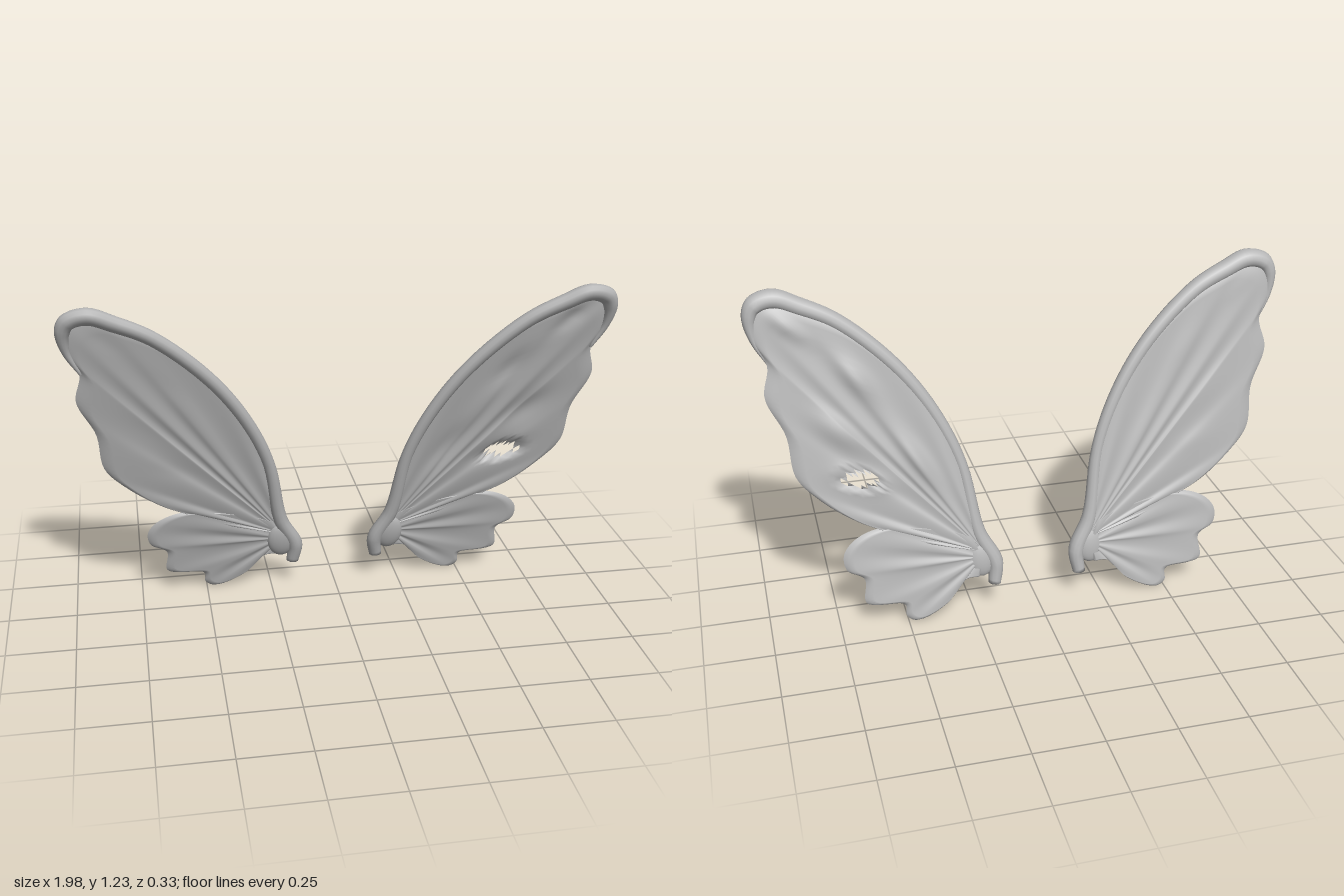
import * as THREE from 'three';

// Outlines of the model's left (+x) side, seen from the front
const upperEdge = [
  [0.215, 0.3], [0.262, 0.57], [0.35, 0.77], [0.48, 0.95], [0.665, 1.115], [0.795, 1.18], [0.88, 1.212],
  [0.945, 1.195], [0.968, 1.155], [0.965, 1.085], [0.92, 0.99], [0.94, 0.88], [0.88, 0.74], [0.86, 0.59],
  [0.785, 0.5], [0.68, 0.42], [0.58, 0.37], [0.4, 0.29]];
const lowerEdge = [
  [0.23, 0.3], [0.36, 0.345], [0.58, 0.372], [0.68, 0.335], [0.718, 0.285], [0.71, 0.23], [0.65, 0.19],
  [0.65, 0.1], [0.51, 0.075], [0.505, 0.03], [0.47, 0.01], [0.355, 0.06], [0.28, 0.14], [0.22, 0.145]];
const rimPath = [
  [0.165, 0.11], [0.158, 0.19], [0.215, 0.31], [0.262, 0.57], [0.35, 0.77], [0.48, 0.95], [0.665, 1.115],
  [0.795, 1.18], [0.88, 1.212], [0.945, 1.195], [0.965, 1.155], [0.958, 1.08], [0.915, 0.99]];
const rimRadius = [0.024, 0.03, 0.027, 0.022, 0.024, 0.026, 0.028, 0.031, 0.033, 0.032, 0.026, 0.014, 0.005];

// Hollow cells between the veins: x, y, radius along, radius across, angle
const cells = [
  [0.62, 0.56, 0.13, 0.05, 0.3], [0.7, 0.74, 0.14, 0.06, 0.7],
  [0.62, 0.92, 0.1, 0.05, 0.9], [0.84, 1.12, 0.09, 0.04, 0.6], [0.42, 0.6, 0.15, 0.05, 1.0]];

// The wing plane leans forward towards the top
const lean = (y, depth) => -0.15 + 0.235 * y + depth;
const curve = (pts) => new THREE.CatmullRomCurve3(
  pts.map(([x, y]) => new THREE.Vector3(x, y, 0)), false, 'centripetal');

function hollow(x, y) {
  let sum = 0;
  for (const [cx, cy, rx, ry, a] of cells) {
    const dx = x - cx, dy = y - cy;
    const p = (dx * Math.cos(a) + dy * Math.sin(a)) / rx;
    const q = (dy * Math.cos(a) - dx * Math.sin(a)) / ry;
    sum += Math.exp(-2 * (p * p + q * q));
  }
  return sum;
}

function makeGeometry(pos, idx, side) {
  if (side < 0) {
    for (let i = 0; i < pos.length; i += 3) pos[i] *= -1;
    for (let i = 0; i < idx.length; i += 3) [idx[i], idx[i + 1]] = [idx[i + 1], idx[i]];
  }
  const geo = new THREE.BufferGeometry();
  geo.setAttribute('position', new THREE.Float32BufferAttribute(pos, 3));
  geo.setIndex(idx);
  geo.computeVertexNormals();
  return geo;
}

// Thin two-sided membrane fanning out from a hub to its scalloped edge
function membrane(edge, hub, veins, dent, hole, side) {
  const nu = 110, nv = 28, row = nv + 1, layer = (nu + 1) * row;
  const path = curve(edge), plan = [];
  for (let i = 0; i <= nu; i++) {
    const e = path.getPoint(i / nu);
    for (let j = 0; j <= nv; j++) {
      const v = j / nv;
      plan.push([hub[0] + (e.x - hub[0]) * v, hub[1] + (e.y - hub[1]) * v]);
    }
  }
  // Cells inside the opening are left out and the two faces meet at its border
  const open = (i, j) => {
    if (!hole) return false;
    const [ax, ay] = plan[i * row + j], [bx, by] = plan[(i + 1) * row + j + 1];
    return Math.hypot(((ax + bx) / 2 - hole[0]) / hole[2], ((ay + by) / 2 - hole[1]) / hole[3]) < 1;
  };
  const border = new Set();
  for (let i = 0; i < nu; i++) for (let j = 0; j < nv; j++) {
    if (open(i, j)) for (const k of [0, 1, row, row + 1]) border.add(i * row + j + k);
  }
  const pos = [], idx = [];
  for (const face of [1, -1]) {
    plan.forEach(([x, y], k) => {
      const i = Math.floor(k / row), v = (k % row) / nv;
      const pinched = v === 1 || i === 0 || i === nu || border.has(k);
      const vein = 0.003 * Math.cos((i / nu) * veins * Math.PI * 2) * Math.sin(Math.PI * v);
      const thick = pinched ? 0 : 0.011 + vein;
      pos.push(x, y, lean(y, -0.008 - dent * hollow(x, y) + face * thick));
    });
  }
  for (let i = 0; i < nu; i++) for (let j = 0; j < nv; j++) {
    if (open(i, j)) continue;
    const a = i * row + j, b = a + 1, c = a + row, d = c + 1;
    idx.push(a, d, b, a, c, d);
    idx.push(a + layer, b + layer, d + layer, a + layer, d + layer, c + layer);
  }
  return makeGeometry(pos, idx, side);
}

// Tapered round rim from the root stub along the leading edge and over the tip
function rim(side) {
  const path = curve(rimPath), n = 72, m = 12, pos = [], idx = [];
  for (let i = 0; i <= n; i++) {
    const t = i / n, c = path.getPoint(t), d = path.getTangent(t);
    const s = t * (rimRadius.length - 1), k = Math.min(Math.floor(s), rimRadius.length - 2);
    const r = THREE.MathUtils.lerp(rimRadius[k], rimRadius[k + 1], s - k);
    for (let j = 0; j < m; j++) {
      const a = (j / m) * Math.PI * 2, out = Math.cos(a) * r;
      const y = c.y + d.x * out;
      pos.push(c.x - d.y * out, y, lean(y, Math.sin(a) * r));
    }
  }
  for (let i = 0; i < n; i++) for (let j = 0; j < m; j++) {
    const a = i * m + j, b = i * m + (j + 1) % m;
    idx.push(a, b, a + m, b, b + m, a + m);
  }
  // End caps
  for (let j = 1; j < m - 1; j++) {
    idx.push(0, j + 1, j);
    idx.push(n * m, n * m + j, n * m + j + 1);
  }
  return makeGeometry(pos, idx, side);
}

// Swollen joint where the rim and both membranes meet
function joint(side) {
  const geo = new THREE.SphereGeometry(1, 20, 14);
  geo.scale(0.055, 0.075, 0.026);
  geo.translate(side * 0.21, 0.215, 0);
  const p = geo.attributes.position;
  for (let i = 0; i < p.count; i++) p.setZ(i, lean(p.getY(i), p.getZ(i)));
  geo.computeVertexNormals();
  return geo;
}

export function createModel() {
  const model = new THREE.Group();
  model.name = 'wings';
  const grey = new THREE.MeshStandardMaterial({ color: 0xb4b4b4, side: THREE.DoubleSide });
  grey.name = 'wing grey';

  for (const [side, name] of [[1, 'left'], [-1, 'right']]) {
    const wing = new THREE.Group();
    wing.name = name + 'Wing';
    const add = (part, geo) => {
      const mesh = new THREE.Mesh(geo, grey);
      mesh.name = name + part;
      wing.add(mesh);
    };
    // The left wing is more deeply hollowed and has one opening
    const left = side > 0;
    add('UpperMembrane', membrane(upperEdge, [0.2, 0.24], 7, left ? 0.016 : 0.002,
      left ? [0.63, 0.56, 0.065, 0.024] : null, side));
    add('LowerMembrane', membrane(lowerEdge, [0.21, 0.22], 5, 0, null, side));
    add('LeadingRim', rim(side));
    add('RootJoint', joint(side));
    model.add(wing);
  }
  return model;
}
